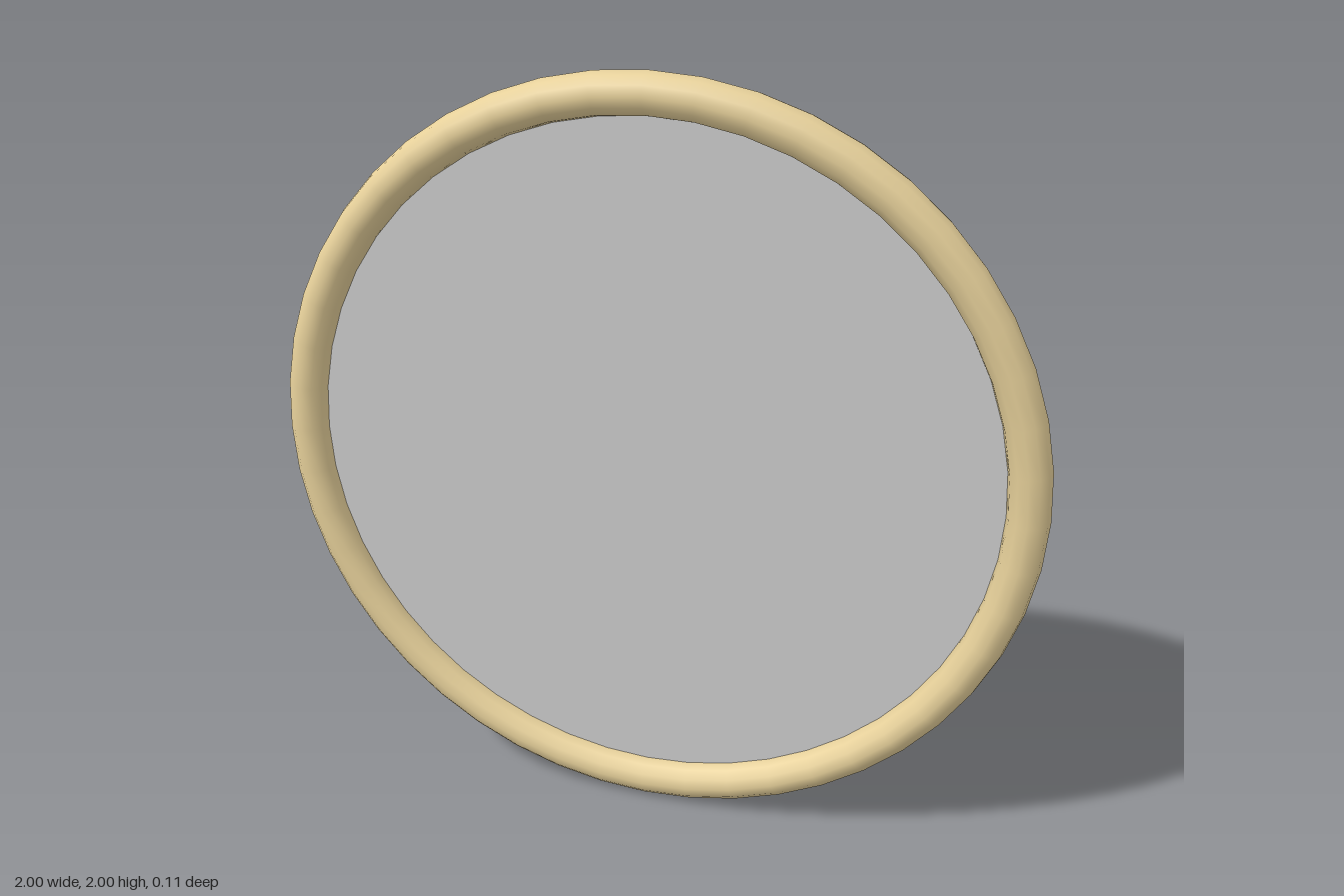
import * as THREE from 'three';

const OUTER = 1;            // overall radius
const TUBE = 0.0526;        // radius of the rim's round section
const RIM = OUTER - TUBE;   // radius of the rim's centre line

export function createModel() {
  const model = new THREE.Group();
  model.name = 'roundFramedPane';

  // Round tubular rim
  const rim = new THREE.Mesh(
    new THREE.TorusGeometry(RIM, TUBE, 12, 48),
    new THREE.MeshStandardMaterial({ color: 0xe6d09a })
  );
  rim.name = 'rim';

  // Thin pane in the middle plane, its edge buried in the rim
  const pane = new THREE.Mesh(
    new THREE.CircleGeometry(RIM - TUBE / 2, 48),
    new THREE.MeshStandardMaterial({ color: 0xcccccc, side: THREE.DoubleSide })
  );
  pane.name = 'pane';

  for (const part of [rim, pane]) {
    part.position.y = OUTER;
    model.add(part);
  }
  return model;
}
